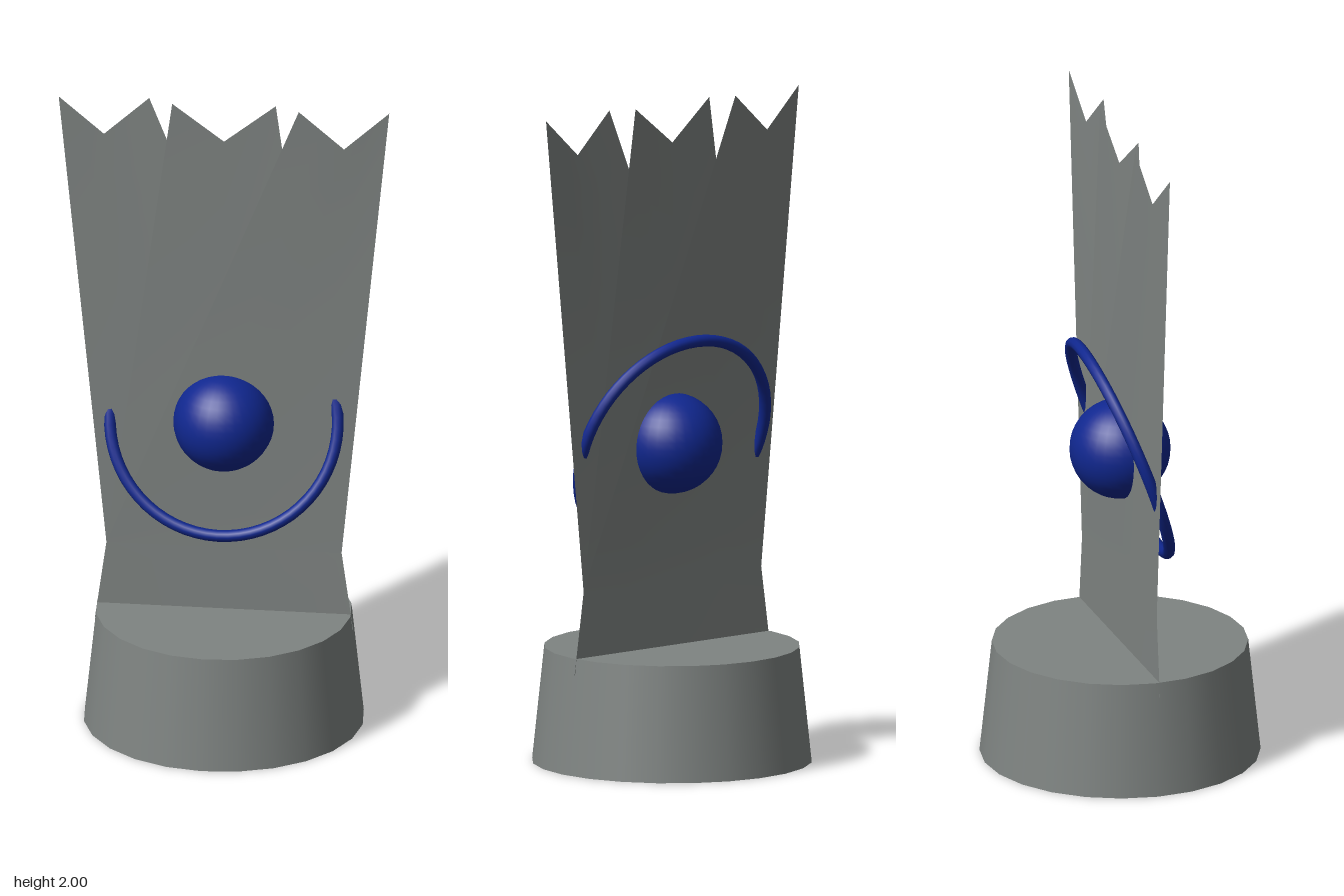
import * as THREE from 'three';

const stone = new THREE.MeshStandardMaterial({ color: 0x7f8482, side: THREE.DoubleSide });
stone.name = 'stoneGrey';
const blue = new THREE.MeshStandardMaterial({ color: 0x10278f });
blue.name = 'deepBlue';

// Thin slanted blade: straight edges from the tip to the waist, then a flare into the base.
function blade(name, topLeft, topRight) {
  const rows = 12, cols = 4, waist = 0.355, foot = 0.39;
  const pos = [], index = [];
  for (let r = 0; r <= rows + 1; r++) {
    const t = Math.min(r / rows, 1);
    const inBase = r > rows;
    const left = inBase ? -foot : THREE.MathUtils.lerp(topLeft, -waist, t);
    const right = inBase ? foot : THREE.MathUtils.lerp(topRight, waist, t);
    for (let c = 0; c <= cols; c++) {
      const u = c / cols;
      // notch in the top edge, fading out below it
      const notch = 0.12 * (1 - Math.abs(2 * u - 1));
      const y = inBase ? 0.3 : THREE.MathUtils.lerp(2 - notch, 0.55, t);
      pos.push(THREE.MathUtils.lerp(left, right, u), y, 0.014 - 0.032 * u);
    }
  }
  const w = cols + 1;
  for (let r = 0; r <= rows; r++) {
    for (let c = 0; c < cols; c++) {
      const a = r * w + c, b = a + w;
      index.push(a, b, a + 1, a + 1, b, b + 1);
    }
  }
  const g = new THREE.BufferGeometry();
  g.setAttribute('position', new THREE.Float32BufferAttribute(pos, 3));
  g.setIndex(index);
  g.computeVertexNormals();
  const m = new THREE.Mesh(g, stone);
  m.name = name;
  return m;
}

export function createModel() {
  const model = new THREE.Group();
  model.name = 'trophy';
  const add = (name, geometry, material, y) => {
    const m = new THREE.Mesh(geometry, material);
    m.name = name;
    m.position.y = y;
    model.add(m);
    return m;
  };

  // Round tapered base
  add('base', new THREE.CylinderGeometry(0.385, 0.422, 0.35, 24), stone, 0.175);

  // Three overlapping upright blades
  model.add(
    blade('rightBlade', -0.5, -0.23),
    blade('middleBlade', -0.155, 0.155),
    blade('leftBlade', 0.23, 0.5),
  );

  // Planet and its tilted ring, passing through the blades
  add('planet', new THREE.SphereGeometry(0.152, 32, 20), blue, 0.965);
  const ring = add('ring', new THREE.TorusGeometry(0.346, 0.018, 10, 64), blue, 0.965);
  ring.rotation.x = -THREE.MathUtils.degToRad(20);

  return model;
}
